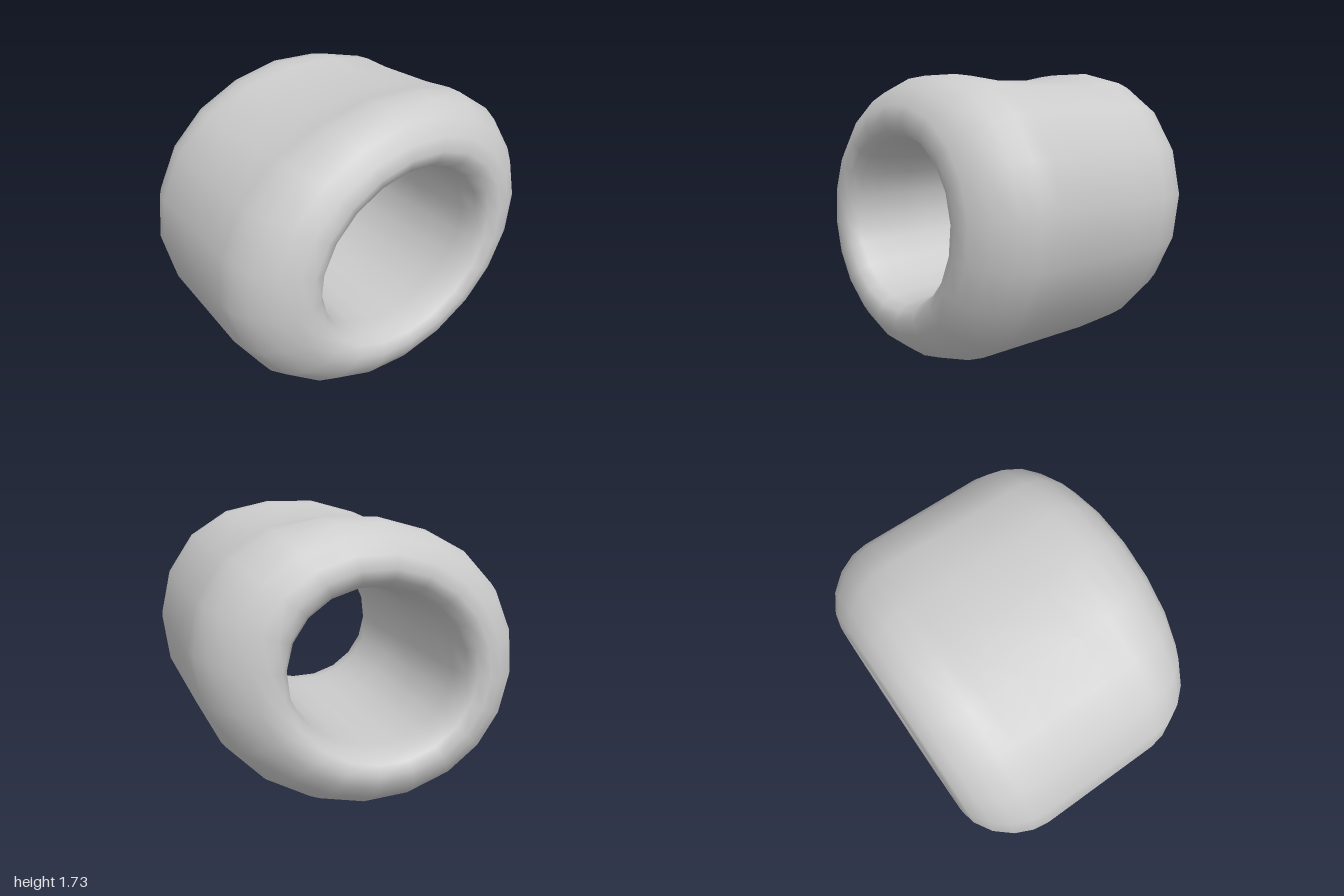
import * as THREE from 'three';

const SIDES = 20;
const CENTRE_Y = 0.905;

// Half of the wall section: [radial scale, z], from the outside round the rim to the bore
const HALF = [
  [1, 0.2], [1, 0.4], [0.985, 0.5], [0.935, 0.61], [0.85, 0.71], [0.745, 0.775],
  [0.66, 0.795], [0.59, 0.77], [0.55, 0.71], [0.533, 0.6], [0.53, 0.4], [0.53, 0.2],
];
const SECTION = [...HALF, ...HALF.map(([s, z]) => [s, -z]).reverse()];

// Shallow press on the top, strongest mid-length
function dent(angle, scale, z) {
  const away = Math.abs(angle - Math.PI / 2);
  const around = 1 - THREE.MathUtils.smoothstep(away, 0.15, 1.0);
  const along = 1 - THREE.MathUtils.smoothstep(Math.abs(z), 0.15, 0.85);
  return 0.115 * scale * around * along;
}

// Sweep the section around a tilted ellipse
function buildRing() {
  const positions = [];
  const index = [];
  const n = SECTION.length;
  for (let i = 0; i < SIDES; i++) {
    const a = (i / SIDES) * Math.PI * 2;
    const c = Math.cos(a);
    const s = Math.sin(a);
    const ex = c - 0.055 * s;
    const ey = 0.155 * c + 0.895 * s;
    for (let j = 0; j < n; j++) {
      const [scale, z] = SECTION[j];
      positions.push(ex * scale, CENTRE_Y + ey * scale - dent(a, scale, z), z);
      const i2 = (i + 1) % SIDES;
      const j2 = (j + 1) % n;
      const p = i * n + j, q = i2 * n + j, r = i2 * n + j2, t = i * n + j2;
      index.push(p, q, r, p, r, t);
    }
  }
  const geometry = new THREE.BufferGeometry();
  geometry.setAttribute('position', new THREE.Float32BufferAttribute(positions, 3));
  geometry.setIndex(index);
  geometry.computeVertexNormals();
  return geometry;
}

export function createModel() {
  const group = new THREE.Group();
  group.name = 'bead';
  const ring = new THREE.Mesh(buildRing(), new THREE.MeshStandardMaterial({ color: 0xcccccc }));
  ring.name = 'beadRing';
  group.add(ring);
  return group;
}
